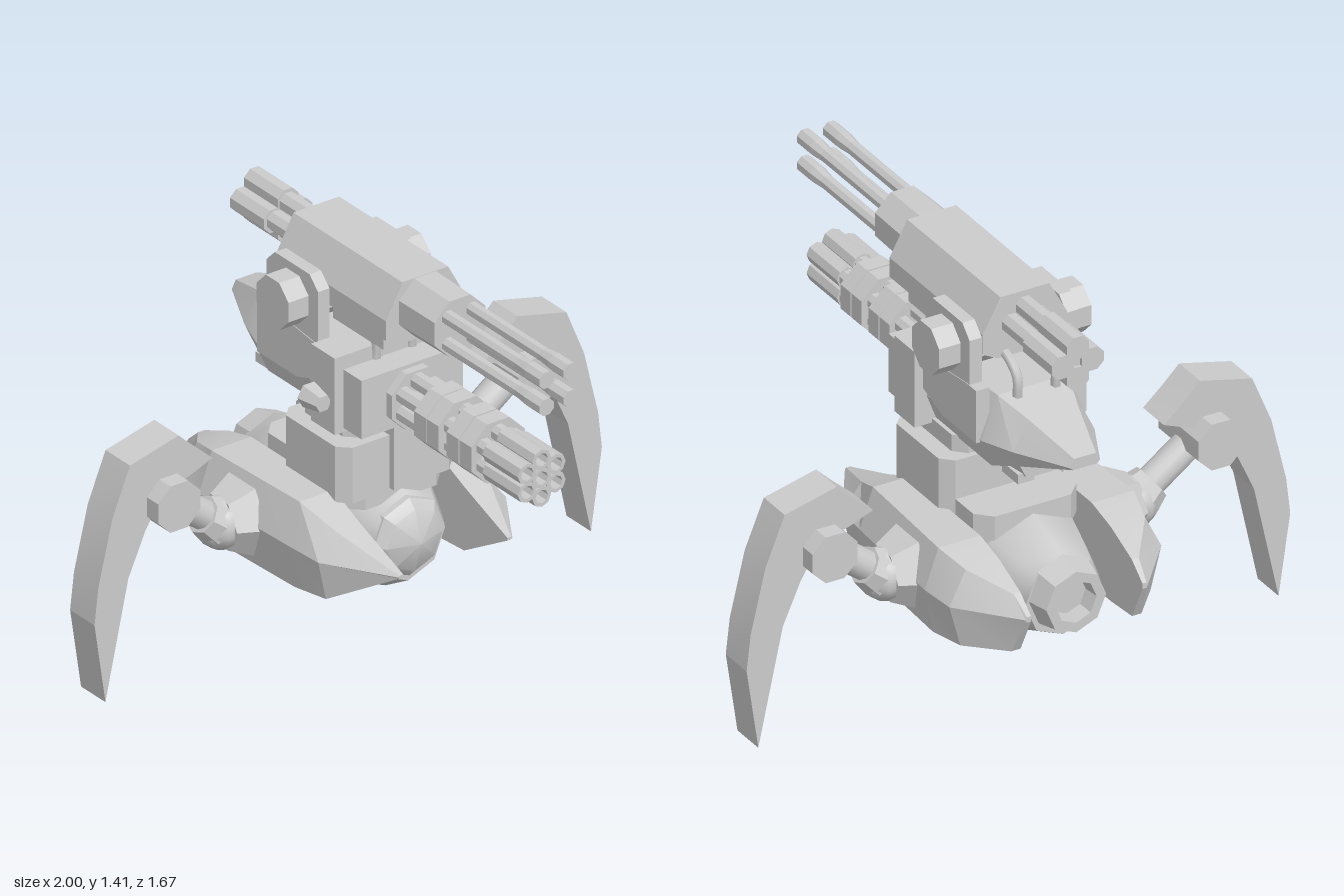
import * as THREE from 'three';
import { toCreasedNormals } from 'three/addons/utils/BufferGeometryUtils.js';

const material = new THREE.MeshStandardMaterial({ color: 0xcccccc, side: THREE.DoubleSide });

export function createModel() {
  const root = new THREE.Group();

  const add = (name, geometry, x = 0, y = 0, z = 0, crease = 0.6, parent = root) => {
    const mesh = new THREE.Mesh(toCreasedNormals(geometry, crease), material);
    mesh.name = name;
    mesh.position.set(x, y, z);
    parent.add(mesh);
    return mesh;
  };
  const box = (name, x0, x1, y0, y1, z0, z1) =>
    add(name, new THREE.BoxGeometry(x1 - x0, y1 - y0, z1 - z0), (x0 + x1) / 2, (y0 + y1) / 2, (z0 + z1) / 2);
  // Cylinder running along z, from zBack to zFront
  const rod = (name, x, y, zBack, zFront, rBack, rFront = rBack, sides = 8, parent = root) =>
    add(name, new THREE.CylinderGeometry(rFront, rBack, zFront - zBack, sides).rotateY(Math.PI / sides).rotateX(Math.PI / 2),
      x, y, (zBack + zFront) / 2, 0.8 - 0.1 * (sides <= 8), parent);
  // Revolved profile of [radius, z] about the z axis
  const latheZ = (name, pts, sides, y, crease) =>
    add(name, new THREE.LatheGeometry(pts.map(p => new THREE.Vector2(...p)), sides).rotateX(Math.PI / 2), 0, y, 0, crease);
  // Plate with a [z, y] outline, thickness along x, centred at x
  const plate = (name, pts, x, thickness) => {
    const g = new THREE.ExtrudeGeometry(new THREE.Shape(pts.map(p => new THREE.Vector2(...p))),
      { depth: thickness, bevelEnabled: false });
    return add(name, g.translate(0, 0, -thickness / 2).rotateY(-Math.PI / 2), x);
  };
  // Skin through [z, outline] sections, front to back, outlines counter-clockwise from the front
  const loft = (name, sections, side = 1) => {
    const n = sections[0][1].length, pos = [], idx = [];
    for (const [z, outline] of sections) {
      const pts = side > 0 ? outline : [...outline].reverse();
      for (const [x, y] of pts) pos.push(x * side, y, z);
    }
    const last = (sections.length - 1) * n;
    for (let s = 0; s < last; s += n) {
      for (let i = 0; i < n; i++) {
        const a = s + i, b = s + (i + 1) % n;
        idx.push(a, a + n, b, b, a + n, b + n);
      }
    }
    for (let i = 1; i < n - 1; i++) idx.push(0, i, i + 1, last, last + i + 1, last + i);
    const g = new THREE.BufferGeometry();
    g.setAttribute('position', new THREE.Float32BufferAttribute(pos, 3));
    g.setIndex(idx);
    g.computeVertexNormals();
    return add(name, g, 0, 0, 0, 0.2);
  };

  // Central hull, domed nose and hollow rear port
  latheZ('hull', [[0, -0.69], [0.14, -0.69], [0.17, -0.62], [0.215, -0.47], [0.215, -0.08], [0.145, 0.04], [0, 0.04]], 8, 0.425, 0.9);
  latheZ('nose', [[0.14, 0], [0.14, 0.045], [0.11, 0.075], [0, 0.11]], 8, 0.44, 0.5);
  latheZ('rearPort', [[0, -0.71], [0.07, -0.71], [0.075, -0.77], [0.11, -0.77], [0.13, -0.68]], 8, 0.44, 0.4);

  // Side pods: pointed at the front, blunt wedge at the back
  const pod = (inner, top, mid, low, xTop, xMid, xLow) =>
    [[inner, low], [xLow, low], [xMid, mid], [xTop, top], [inner, top]];
  for (const s of [1, -1]) {
    loft('sidePod', [
      [0.29, pod(0.205, 0.475, 0.47, 0.465, 0.22, 0.225, 0.22)],
      [0.06, pod(0.205, 0.56, 0.47, 0.33, 0.30, 0.37, 0.34)],
      [-0.08, pod(0.205, 0.62, 0.48, 0.32, 0.34, 0.39, 0.36)],
      [-0.52, pod(0.205, 0.62, 0.48, 0.32, 0.36, 0.41, 0.38)],
      [-0.64, pod(0.205, 0.59, 0.47, 0.32, 0.33, 0.39, 0.35)],
      [-0.77, pod(0.205, 0.535, 0.47, 0.33, 0.23, 0.28, 0.24)],
      [-0.835, pod(0.205, 0.48, 0.47, 0.46, 0.22, 0.225, 0.22)],
    ], s);
  }

  // Legs, modelled about the hip plane and turned round for the other side
  const blade = new THREE.Shape([
    [0.535, 0.754], [0.62, 0.72], [0.73, 0.69], [0.80, 0.575], [0.867, 0.425], [0.957, 0.01],
    [1.0, 0.30], [0.985, 0.43], [0.93, 0.66], [0.86, 0.83], [0.668, 0.877], [0.61, 0.82],
  ].map(p => new THREE.Vector2(...p)));
  for (const s of [1, -1]) {
    const leg = new THREE.Group();
    leg.name = s > 0 ? 'leftLeg' : 'rightLeg';
    leg.position.z = -0.345;
    leg.rotation.y = s > 0 ? 0 : Math.PI;
    root.add(leg);
    add('hipCollar', new THREE.CylinderGeometry(0.095, 0.14, 0.09, 6).rotateZ(-Math.PI / 2), 0.415, 0.47, 0, 0.3, leg);
    add('hipBall', new THREE.SphereGeometry(0.09, 10, 7), 0.455, 0.47, 0, 0.9, leg);
    const a = new THREE.Vector3(0.45, 0.465, 0), b = new THREE.Vector3(0.71, 0.655, 0);
    const dir = b.clone().sub(a);
    const limb = add('upperLeg', new THREE.CylinderGeometry(0.052, 0.052, dir.length(), 10), 0, 0, 0, 0.8, leg);
    limb.position.copy(a).lerp(b, 0.5);
    limb.quaternion.setFromUnitVectors(new THREE.Vector3(0, 1, 0), dir.clone().normalize());
    const cuff = add('hipCuff', new THREE.CylinderGeometry(0.065, 0.085, 0.07, 8), 0.50, 0.50, 0, 0.5, leg);
    cuff.quaternion.copy(limb.quaternion);
    rod('knee', 0.71, 0.66, -0.125, 0.125, 0.09, 0.09, 8, leg);
    add('blade', new THREE.ExtrudeGeometry(blade, { depth: 0.13, bevelEnabled: false }), 0, 0, -0.065, 0.2, leg);
  }

  // Neck between hull and turret
  const neck = (w, z0, z1, c) => [[w - c, z0], [w, z0 - c], [w, z1 + c], [w - c, z1], [c - w, z1], [-w, z1 + c], [-w, z0 - c], [c - w, z0]];
  const block = (y0, y1, outline) => {
    const g = new THREE.ExtrudeGeometry(new THREE.Shape(outline.map(p => new THREE.Vector2(p[0], -p[1]))),
      { depth: y1 - y0, bevelEnabled: false });
    return add('neckBlock', g.rotateX(-Math.PI / 2), 0, y0, 0, 0.2);
  };
  block(0.56, 0.66, neck(0.19, 0, -0.50, 0.05));
  block(0.60, 0.80, neck(0.23, 0, -0.34, 0.04));
  block(0.79, 0.86, neck(0.17, -0.04, -0.32, 0.04));
  box('neckStrut', -0.045, 0.045, 0.61, 0.85, -0.05, 0.025);

  // Turret: front mount, shoulder plates, tapering tail
  box('gunMount', -0.2, 0.2, 0.86, 1.07, -0.05, 0.06);
  box('shoulderBlock', -0.235, 0.235, 0.845, 1.12, -0.16, -0.035);
  const hexSection = (w, wTop, y0, ym, y1) => [[w * 0.8, y0], [w, ym], [wTop, y1], [-wTop, y1], [-w, ym], [-w * 0.8, y0]];
  loft('turretBody', [
    [-0.10, hexSection(0.19, 0.16, 0.85, 0.95, 1.10)],
    [-0.50, hexSection(0.19, 0.13, 0.85, 0.95, 1.10)],
    [-0.63, hexSection(0.15, 0.09, 0.90, 0.96, 1.06)],
    [-0.825, hexSection(0.055, 0.04, 0.96, 0.97, 1.0)],
  ]);
  loft('turretUnderside', [
    [-0.30, hexSection(0.17, 0.16, 0.84, 0.90, 0.95)],
    [-0.62, hexSection(0.12, 0.12, 0.85, 0.90, 0.95)],
  ]);
  for (const s of [1, -1]) {
    plate('gunBracket', [[-0.17, 1.04], [-0.17, 1.29], [-0.215, 1.335], [-0.40, 1.335], [-0.445, 1.29], [-0.445, 1.04]], s * 0.178, 0.045);
    plate('cheekPlate', [[-0.16, 0.98], [-0.16, 1.10], [-0.43, 1.13], [-0.49, 1.13], [-0.49, 0.94], [-0.28, 0.94]], s * 0.178, 0.05);
    box('underLug', s * 0.09 - 0.03, s * 0.09 + 0.03, 0.825, 0.86, -0.61, -0.51);
    // Cable loops from turret to upper gun
    for (const [z0, z1] of [[-0.04, -0.17], [-0.52, -0.40]]) {
      const path = new THREE.CatmullRomCurve3([
        new THREE.Vector3(s * 0.07, 1.07, z0), new THREE.Vector3(s * 0.07, 1.16, z0),
        new THREE.Vector3(s * 0.07, 1.205, (z0 + z1) / 2), new THREE.Vector3(s * 0.07, 1.22, z1)]);
      add('cable', new THREE.TubeGeometry(path, 10, 0.018, 6), 0, 0, 0, 1.2);
    }
  }
  add('gunPivot', new THREE.CylinderGeometry(0.092, 0.092, 0.56, 8).rotateY(Math.PI / 8).rotateZ(Math.PI / 2), 0, 1.22, -0.305);
  box('pivotPost', -0.03, 0.03, 1.05, 1.2, -0.17, -0.1);
  rod('sensor', -0.26, 0.955, -0.14, -0.06, 0.045, 0.03, 6);

  // Upper gun: faceted housing, four long barrels, rear canisters
  const housing = [[0.1, 1.2], [0.155, 1.23], [0.155, 1.30], [0.09, 1.42], [-0.09, 1.42], [-0.155, 1.30], [-0.155, 1.23], [-0.1, 1.2]];
  loft('upperHousing', [[0.13, housing], [-0.45, housing]]);
  box('upperFeed', -0.12, 0.12, 1.16, 1.24, -0.2, 0.07);
  rod('upperCollar', 0, 1.315, 0.12, 0.315, 0.112, 0.108);
  for (const x of [-0.048, 0.048]) {
    for (const y of [1.362, 1.265]) {
      rod('upperBarrel', x, y, 0.3, 0.84, 0.025);
      rod('muzzle', x, y, 0.69, 0.76, 0.024, 0.031);
      rod('muzzle', x, y, 0.76, 0.84, 0.031);
    }
  }
  for (let i = 0; i < 4; i++) {
    const dx = Math.cos(i * Math.PI / 2), dy = Math.sin(i * Math.PI / 2);
    rod('rearPipe', dx * 0.05, 1.315 + dy * 0.05, -0.62, -0.44, 0.036);
    rod('rearCanister', dx * 0.055, 1.315 + dy * 0.055, -0.78, -0.6, 0.044);
  }
  rod('rearCore', 0, 1.315, -0.77, -0.44, 0.04);

  // Lower rotary gun: seven barrels held by four rings
  for (let i = 0; i < 7; i++) {
    const r = i < 6 ? 0.066 : 0, t = Math.PI / 6 + i * Math.PI / 3;
    const x = r * Math.cos(t), y = 0.955 + r * Math.sin(t);
    rod('lowerBarrel', x, y, 0.04, 0.57, 0.03);
    // Open muzzle sleeves
    add('muzzleSleeve', new THREE.LatheGeometry([[0.024, -0.05], [0.024, 0.095], [0.037, 0.095], [0.037, -0.095], [0, -0.095]]
      .reverse().map(p => new THREE.Vector2(...p)), 8).rotateX(Math.PI / 2), x, y, 0.655, 0.7);
    rod('muzzleBore', x, y, 0.56, 0.67, 0.025);
  }
  for (const z of [0.245, 0.312, 0.418, 0.487]) rod('barrelRing', 0, 0.955, z - 0.031, z + 0.031, 0.115);
  rod('lowerCollar', 0, 0.955, 0.04, 0.09, 0.11);

  return root;
}
